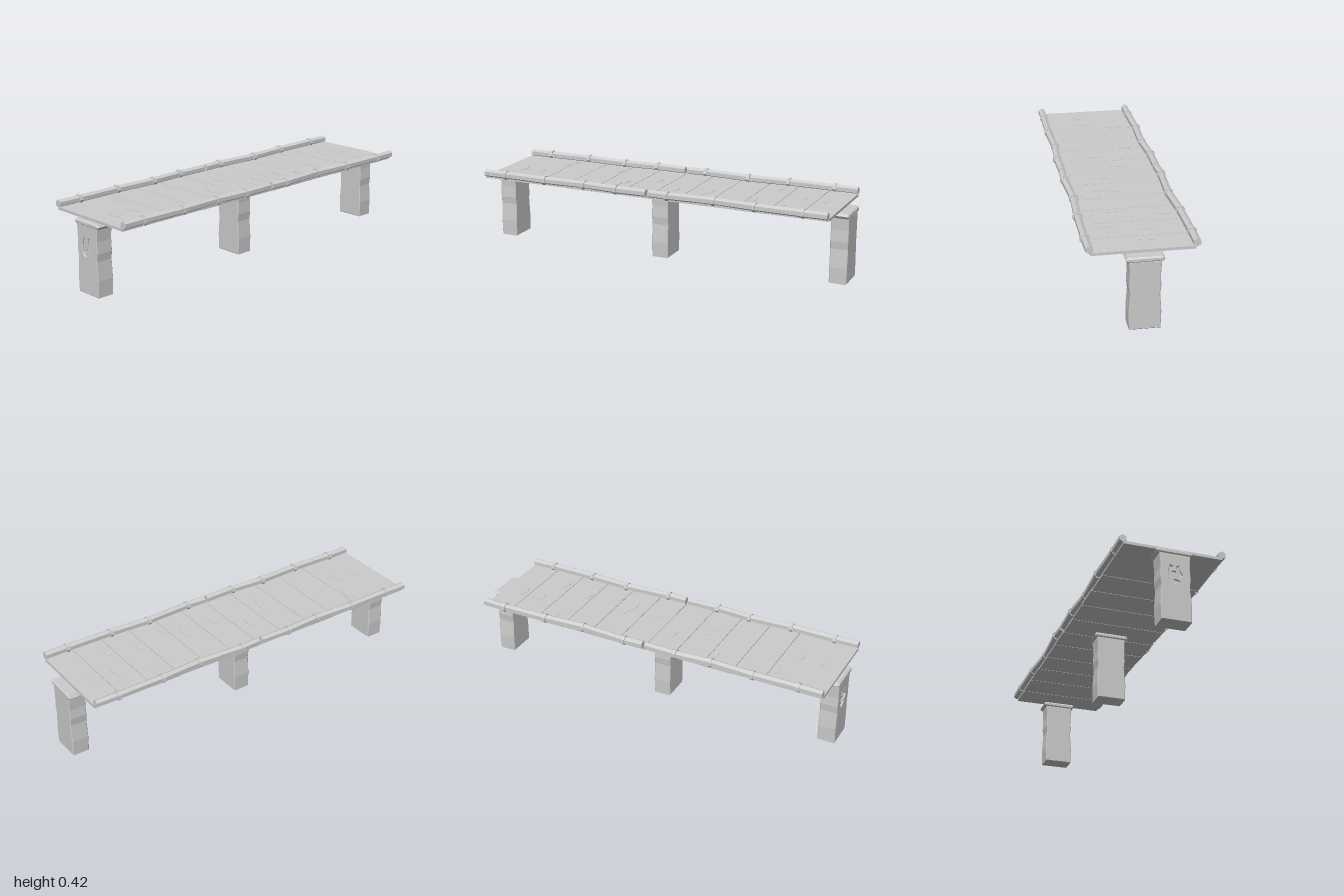
import * as THREE from 'three';

const grey = new THREE.MeshStandardMaterial({ color: 0xcccccc, flatShading: true });

function part(parent, name, geometry, x = 0, y = 0, z = 0) {
  const mesh = new THREE.Mesh(geometry, grey);
  mesh.name = name;
  mesh.position.set(x, y, z);
  parent.add(mesh);
  return mesh;
}

const toPoints = (list) => list.map(([x, y]) => new THREE.Vector2(x, y));

// Front outline extruded from z0 to z1, with its front and back edges chamfered
function slab(outline, z0, z1, bevel, hole) {
  const shape = new THREE.Shape(toPoints(outline));
  if (hole) shape.holes.push(new THREE.Path(toPoints(hole)));
  const geometry = new THREE.ExtrudeGeometry(shape, {
    depth: z1 - z0 - 2 * bevel, bevelEnabled: true, bevelSegments: 1,
    bevelSize: bevel, bevelThickness: bevel, bevelOffset: -bevel,
  });
  return geometry.translate(0, 0, z0 + bevel);
}

const PILLAR = [
  [-0.074, 0], [0.074, 0], [0.077, 0.085], [0.07, 0.18], [0.075, 0.22], [0.072, 0.28], [0.076, 0.347],
  [-0.077, 0.347], [-0.072, 0.27], [-0.075, 0.22], [-0.07, 0.18], [-0.077, 0.085],
];
const CAP = [
  [-0.08, 0.343], [0.082, 0.342], [0.092, 0.356], [0.083, 0.369], [-0.083, 0.369], [-0.092, 0.353],
];
const CARVING = [
  [-0.027, 0.286], [-0.014, 0.278], [-0.017, 0.254], [0.003, 0.254], [0.005, 0.278], [0.018, 0.286],
  [0.021, 0.262], [0.035, 0.24], [0.017, 0.222], [-0.006, 0.216], [-0.005, 0.229],
  [-0.009, 0.212], [0.022, 0.206], [-0.016, 0.187], [-0.033, 0.208], [-0.036, 0.25],
];

function pillar(parent, name, z, carved) {
  const group = new THREE.Group();
  group.name = name;
  group.position.z = z;
  part(group, 'pillarBody', slab(PILLAR, -0.046, carved ? 0.038 : 0.046, 0.004));
  // The carved front is a pierced slab over the solid body
  if (carved) part(group, 'carvedFront', slab(PILLAR, 0.01, 0.046, 0.003, CARVING));
  part(group, 'pillarCap', slab(CAP, -0.05, 0.05, 0.007));
  parent.add(group);
}

// Six-sided log running through the [z, x] stations
function log(stations, side) {
  const last = stations.length - 1;
  const geometry = new THREE.CylinderGeometry(0.02, 0.02, 1, 6, last).rotateX(Math.PI / 2);
  const p = geometry.attributes.position;
  for (let i = 0; i < p.count; i++) {
    const [z, x] = stations[Math.round((p.getZ(i) + 0.5) * last)];
    p.setXYZ(i, p.getX(i) + side * x, p.getY(i), z);
  }
  return geometry;
}

const RAILS = [
  [[-0.945, 0.25], [-0.82, 0.252], [-0.57, 0.25], [-0.35, 0.238], [-0.1, 0.252], [0.005, 0.248]],
  [[0.02, 0.248], [0.19, 0.252], [0.38, 0.24], [0.61, 0.25], [0.85, 0.246], [0.975, 0.248]],
];
const SEAMS = [-0.948, -0.795, -0.63, -0.47, -0.31, -0.145, 0.01, 0.17, 0.335, 0.495, 0.66, 0.978];

// Raised patches on the planks, as [x, z]
const PATCHES = [
  [-0.13, 0.69], [0.04, 0.75], [0.04, 0.865], [-0.14, 0.36], [0.04, 0.235], [0.09, 0.255],
  [-0.06, 0.085], [0.07, -0.065], [0.04, -0.245], [0.09, -0.225], [0.14, -0.33], [0.08, -0.5],
  [-0.17, -0.555], [-0.05, -0.72], [0.13, -0.665], [-0.035, -0.835],
];

export function createModel() {
  const model = new THREE.Group();
  model.name = 'plankBridge';

  pillar(model, 'frontPillar', 0.95, true);
  pillar(model, 'middlePillar', 0.025, false);
  pillar(model, 'backPillar', -0.95, false);

  // Planks with thin gaps between them
  const deck = new THREE.Group();
  deck.name = 'deck';
  model.add(deck);
  for (let i = 0; i < SEAMS.length - 1; i++) {
    const depth = SEAMS[i + 1] - SEAMS[i] - 0.003;
    const width = 0.492 + 0.003 * (i % 3 - 1);
    part(deck, 'plank', new THREE.BoxGeometry(width, 0.014, depth),
      0, 0.376, (SEAMS[i] + SEAMS[i + 1]) / 2);
  }
  const patch = new THREE.CylinderGeometry(1, 1, 1, 8).rotateY(Math.PI / 8).scale(0.044, 0.004, 0.016);
  for (const [x, z] of PATCHES) part(deck, 'plankPatch', patch, x, 0.383, z);

  // Side rails, each in two lengths, with a binding at every inner station
  const binding = new THREE.CylinderGeometry(0.025, 0.025, 0.016, 7).rotateX(Math.PI / 2);
  for (const side of [1, -1]) {
    const rail = new THREE.Group();
    rail.name = side > 0 ? 'leftRail' : 'rightRail';
    rail.position.y = 0.398;
    model.add(rail);
    for (const stations of RAILS) {
      part(rail, 'railLog', log(stations, side));
      for (const [z, x] of stations.slice(1, -1)) {
        part(rail, 'railBinding', binding, side * x, 0, z).rotation.z = side * 0.3;
      }
    }
  }
  return model;
}
